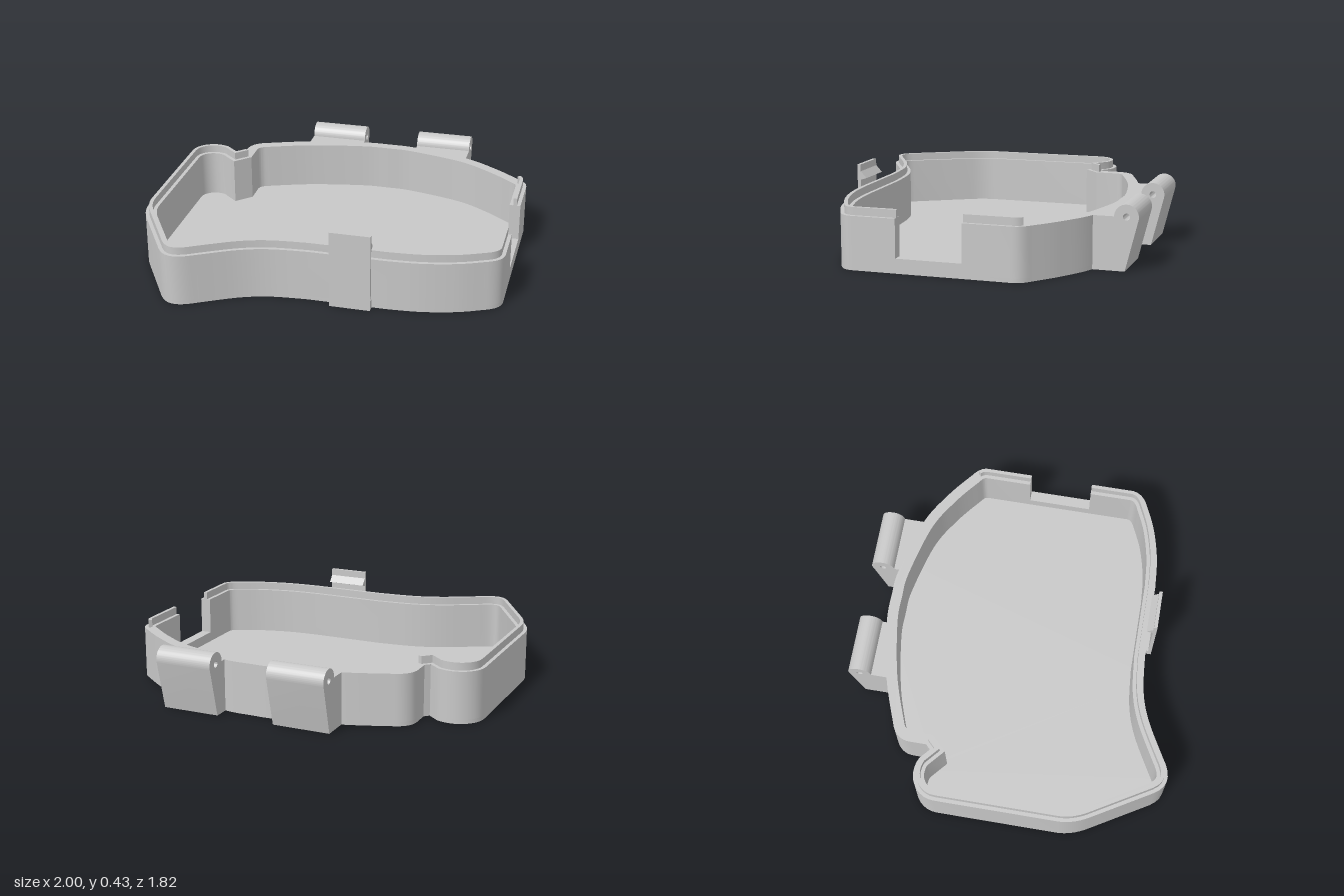
import * as THREE from 'three';
import { toCreasedNormals } from 'three/addons/utils/BufferGeometryUtils.js';

const grey = new THREE.MeshStandardMaterial({ color: 0xc8c8c8 });
grey.name = 'grey plastic';

const FLOOR = 0.022, SILL = 0.078, RIM = 0.283, LIP = 0.325, WALL = 0.06;
const v = (x, y) => new THREE.Vector2(x, y);

// Plan of the tray (x, z), running from one side of the window round to the other
function planOutline() {
  const p = new THREE.Path();
  p.moveTo(1, 0.245);
  p.lineTo(1, 0.48);
  p.quadraticCurveTo(1, 0.545, 0.915, 0.58);
  p.splineThru([v(0.78, 0.637), v(0.6, 0.68), v(0.42, 0.695)]);
  p.lineTo(0, 0.695);
  p.splineThru([v(-0.2, 0.715), v(-0.36, 0.765), v(-0.56, 0.872)]);
  p.bezierCurveTo(-0.62, 0.91, -0.7, 0.945, -0.76, 0.85);
  p.lineTo(-0.95, 0.53);
  p.quadraticCurveTo(-1, 0.445, -1, 0.36);
  p.lineTo(-1, -0.31);
  p.bezierCurveTo(-1, -0.39, -0.93, -0.448, -0.86, -0.448);
  p.quadraticCurveTo(-0.815, -0.448, -0.78, -0.43);
  p.lineTo(-0.725, -0.383);
  p.lineTo(-0.7, -0.408);
  p.lineTo(-0.7, -0.5);
  p.bezierCurveTo(-0.7, -0.55, -0.67, -0.585, -0.63, -0.603);
  p.splineThru([v(-0.36, -0.698), v(-0.04, -0.762), v(0.13, -0.768), v(0.285, -0.758),
    v(0.6, -0.677), v(0.8, -0.565), v(0.95, -0.45)]);
  p.bezierCurveTo(0.985, -0.425, 1, -0.4, 1, -0.36);
  p.lineTo(1, -0.11);
  return p.getPoints(8);
}

// Move an open path inwards by d, with mitred corners
function inset(pts, d) {
  const normal = (a, b) => v(a.y - b.y, b.x - a.x).normalize();
  return pts.map((p, i) => {
    const n1 = i > 0 ? normal(pts[i - 1], p) : normal(p, pts[i + 1]);
    const n2 = i < pts.length - 1 ? normal(p, pts[i + 1]) : n1;
    const m = n1.clone().add(n2).divideScalar(1 + n1.dot(n2));
    return p.clone().addScaledVector(m, d);
  });
}

function mesh(name, geometry) {
  const m = new THREE.Mesh(geometry, grey);
  m.name = name;
  return m;
}

// Raise a plan polygon from y0 to y1
function slab(name, pts, y0, y1) {
  const g = new THREE.ExtrudeGeometry(new THREE.Shape(pts), { depth: y1 - y0, bevelEnabled: false });
  g.rotateX(Math.PI / 2).translate(0, y1, 0);
  return mesh(name, toCreasedNormals(g, 0.5));
}

// Extrude a side profile drawn as (-z, y) along x
function sideExtrude(shape, x0, x1) {
  const g = new THREE.ExtrudeGeometry(shape, { depth: x1 - x0, bevelEnabled: false, curveSegments: 24 });
  return g.rotateY(Math.PI / 2).translate(x0, 0, 0);
}

// Hinge knuckle; its root is slanted to sit inside the curved back wall
function hinge(x0, x1, root0, root1) {
  const r = 0.064, cz = 0.85, s = new THREE.Shape();
  s.moveTo(0.6, 0);
  s.lineTo(0.845, 0);
  s.absarc(cz, RIM, r, -0.22, Math.PI, false);
  s.lineTo(0.6, RIM);
  s.closePath();
  const pin = new THREE.Path();
  pin.absarc(cz, RIM, 0.018, 0, Math.PI * 2, true);
  s.holes.push(pin);
  const g = sideExtrude(s, x0, x1), pos = g.attributes.position;
  for (let i = 0; i < pos.count; i++) {
    if (pos.getZ(i) > -0.65) pos.setZ(i, pos.getX(i) < (x0 + x1) / 2 ? root0 : root1);
  }
  return mesh('hinge', toCreasedNormals(g, 0.5));
}

export function createModel() {
  const tray = new THREE.Group();
  tray.name = 'tray';

  const outline = planOutline();
  const band = (name, from, to, d0, d1, y0, y1) => slab(name, [
    ...inset(outline, d0).slice(from, to),
    ...inset(outline, d1).slice(from, to).reverse(),
  ], y0, y1);

  // Floor, wall and window sill
  tray.add(slab('floor', outline, 0, FLOOR));
  tray.add(band('wall', 0, outline.length, 0, WALL, FLOOR, RIM));
  tray.add(slab('windowSill', [v(1, -0.11), v(1, 0.245), v(1 - WALL, 0.245), v(1 - WALL, -0.11)], FLOOR, SILL));

  // Raised lip: front and sides to the notch, then the short piece behind the window
  const notch = outline.findIndex((p) => Math.abs(p.x + 0.7) < 0.001 && Math.abs(p.y + 0.408) < 0.001);
  const corner = outline.findIndex((p) => p.x > 0.97 && p.y < 0);
  tray.add(band('frontLip', 0, notch + 1, 0.02, 0.04, RIM, LIP));
  tray.add(band('sideLip', corner, outline.length, 0.02, 0.04, RIM, LIP));

  // Hinges on the back
  tray.add(hinge(-0.36, -0.04, -0.675, -0.735));
  tray.add(hinge(0.285, 0.603, -0.73, -0.65));

  // Snap clip on the front, standing off the wall above its foot
  const clip = new THREE.Shape([
    v(-0.735, 0), v(-0.68, 0), v(-0.68, 0.05), v(-0.716, 0.05), v(-0.716, 0.345),
    v(-0.682, 0.355), v(-0.716, 0.392), v(-0.716, 0.43), v(-0.735, 0.43),
  ]);
  tray.add(mesh('clip', toCreasedNormals(sideExtrude(clip, 0.123, 0.342), 0.1)));

  return tray;
}
